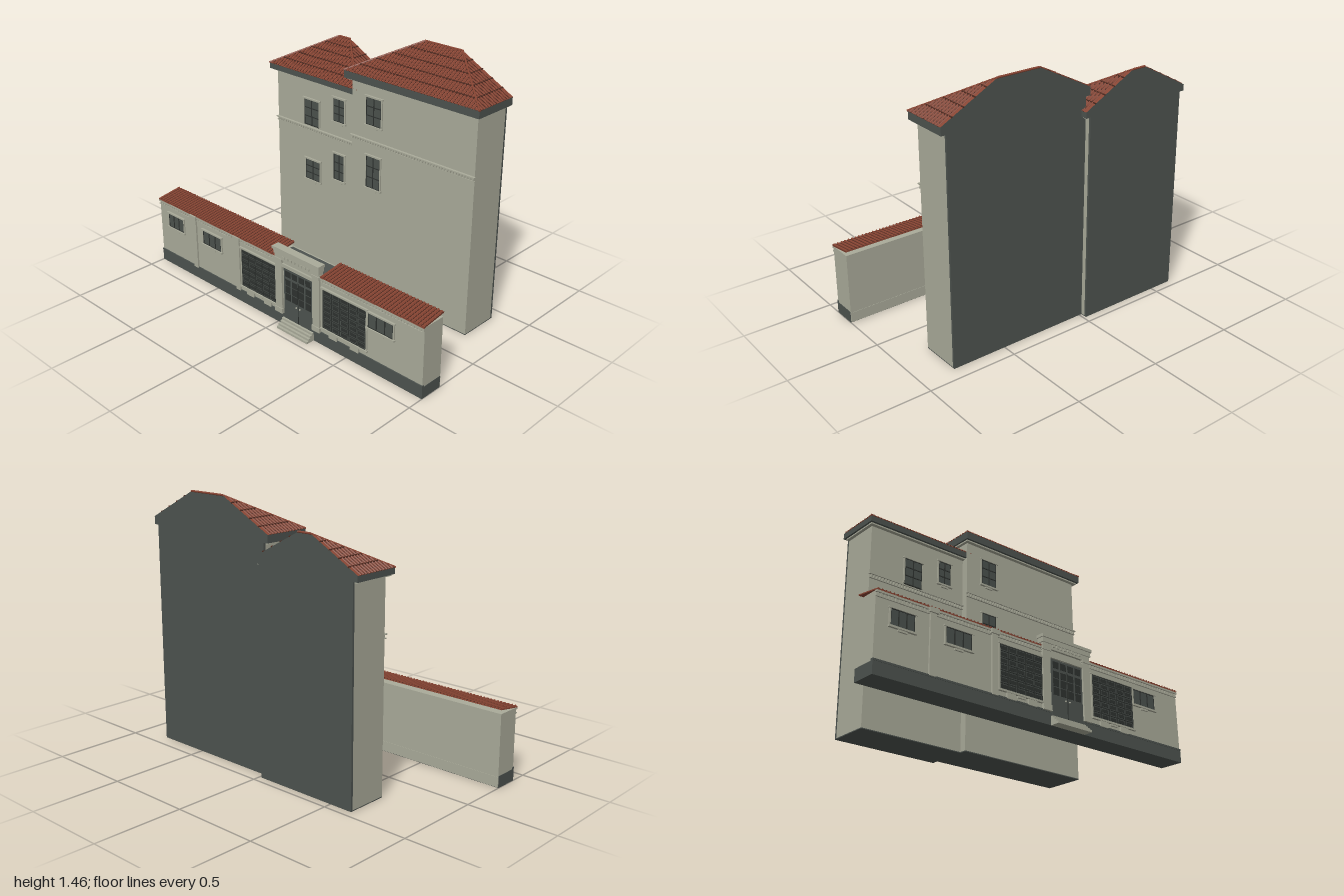
import * as THREE from 'three';
import { mergeGeometries } from 'three/addons/utils/BufferGeometryUtils.js';

const mat = (name, color, side = THREE.FrontSide) => {
  const m = new THREE.MeshStandardMaterial({ color, side });
  m.name = name;
  return m;
};

export function createModel() {
  const stucco = mat('stucco', 0xaaab9a);
  const slate = mat('slate grey', 0x4d534f);
  const tile = mat('roof tile', 0x8a4634);
  const seam = mat('tile seam', 0x4e2a20);
  const glass = mat('glass', 0x4b514d);
  const iron = mat('dark iron', 0x2e322f);
  const root = new THREE.Group();

  const group = (name, parent = root) => {
    const g = new THREE.Group();
    g.name = name;
    parent.add(g);
    return g;
  };
  const boxGeo = (x0, x1, y0, y1, z0, z1) =>
    new THREE.BoxGeometry(x1 - x0, y1 - y0, z1 - z0).translate((x0 + x1) / 2, (y0 + y1) / 2, (z0 + z1) / 2);
  const add = (g, name, geo, m) => {
    const mesh = new THREE.Mesh(Array.isArray(geo) ? mergeGeometries(geo) : geo, m);
    mesh.name = name;
    g.add(mesh);
    return mesh;
  };
  const box = (g, name, m, ...b) => add(g, name, boxGeo(...b), m);

  // A thin round bar between two points
  const bar = (a, b, r, sides = 5) => {
    const d = b.clone().sub(a);
    const q = new THREE.Quaternion().setFromUnitVectors(new THREE.Vector3(0, 1, 0), d.clone().normalize());
    return new THREE.CylinderGeometry(r, r, d.length(), sides, 1).applyQuaternion(q)
      .translate((a.x + b.x) / 2, (a.y + b.y) / 2, (a.z + b.z) / 2);
  };
  const V = (x, y, z) => new THREE.Vector3(x, y, z);

  // Window: glass plate, glazing bars, surround, lintel, sill and brackets
  const addWindow = (parent, name, x0, x1, y0, y1, z, cols, rows, sill = true) => {
    const g = group(name, parent);
    box(g, 'glass', glass, x0, x1, y0, y1, z, z + 0.003);
    const bars = [];
    for (let i = 0; i <= cols; i++) {
      const x = x0 + (x1 - x0) * i / cols;
      bars.push(boxGeo(x - 0.0025, x + 0.0025, y0, y1, z, z + 0.006));
    }
    for (let j = 0; j <= rows; j++) {
      const y = y0 + (y1 - y0) * j / rows;
      bars.push(boxGeo(x0, x1, y - 0.0025, y + 0.0025, z, z + 0.006));
    }
    add(g, 'glazingBars', bars, iron);
    const trim = [
      boxGeo(x0 - 0.008, x0, y0, y1, z, z + 0.007),
      boxGeo(x1, x1 + 0.008, y0, y1, z, z + 0.007),
      boxGeo(x0 - 0.012, x1 + 0.012, y1, y1 + 0.009, z, z + 0.011),
    ];
    if (sill) {
      trim.push(boxGeo(x0 - 0.012, x1 + 0.012, y0 - 0.01, y0, z, z + 0.013));
      const c = (x0 + x1) / 2;
      trim.push(boxGeo(c - 0.025, c + 0.025, y0 - 0.02, y0 - 0.01, z, z + 0.008));
    }
    add(g, 'surround', trim, stucco);
  };

  // Half hip roof, cut off by a flat back
  const addRoof = (parent, x0, x1, r0, r1, y0, y1, zb, zf) => {
    const g = group('hipRoof', parent);
    const A = V(x0, y0, zf), B = V(x1, y0, zf), C = V(x1, y0, zb), D = V(x0, y0, zb);
    const E = V(r0, y1, zb), F = V(r1, y1, zb);
    const faces = (name, tris, m) => {
      const geo = new THREE.BufferGeometry().setFromPoints(tris);
      geo.computeVertexNormals();
      add(g, name, geo, m);
    };
    faces('tiledSlopes', [A, B, F, A, F, E, D, A, E, B, C, F], tile);
    faces('backGable', [C, D, E, C, E, F], slate);
    const ribs = [], seams = [];
    const rib = (a, b) => {
      ribs.push(bar(a, b, 0.0045));
      const off = b.x === a.x ? V(0.0095, 0.001, 0) : V(0, 0.001, 0.0095);
      seams.push(bar(a.clone().add(off), b.clone().add(off), 0.0015, 3));
    };
    // Ribs up the front slope
    const nx = Math.round((x1 - x0) / 0.021);
    for (let i = 1; i < nx; i++) {
      const x = x0 + (x1 - x0) * i / nx;
      const t = Math.min(1, (x - x0) / (r0 - x0), (x1 - x) / (x1 - r1));
      rib(V(x, y0, zf), V(x, y0 + (y1 - y0) * t, zf + (zb - zf) * t));
    }
    // Ribs up both side slopes
    const nz = Math.round((zf - zb) / 0.021);
    for (let i = 1; i < nz; i++) {
      const t = i / nz, z = zf + (zb - zf) * t, y = y0 + (y1 - y0) * t;
      rib(V(x0, y0, z), V(x0 + (r0 - x0) * t, y, z));
      rib(V(x1, y0, z), V(x1 + (r1 - x1) * t, y, z));
    }
    // Horizontal tile courses
    for (let k = 1; k < 5; k++) {
      const t = k / 5;
      const a = A.clone().lerp(E, t), b = B.clone().lerp(F, t);
      const c = C.clone().lerp(F, t), d = D.clone().lerp(E, t);
      for (const [p, q] of [[d, a], [a, b], [b, c]]) seams.push(bar(p, q, 0.005, 4));
    }
    add(g, 'tileRibs', ribs, tile);
    add(g, 'tileSeams', seams, seam);
    add(g, 'hipTiles', [bar(A, E, 0.006), bar(B, F, 0.006), bar(E, F, 0.006)], tile);
  };

  // Tall block: walls, dark back, string course, eaves and roof
  const addBlock = (name, o) => {
    const g = group(name);
    const { x0, x1, top, zb, zf, eave, course } = o;
    box(g, 'walls', stucco, x0, x1, 0.005, top, zb + 0.012, zf);
    box(g, 'backWall', slate, x0, x1, 0, top, zb, zb + 0.012);
    box(g, 'underside', slate, x0, x1, 0, 0.005, zb + 0.012, zf);
    const trim = [
      boxGeo(x0 - 0.006, x1 + 0.006, course + 0.008, course + 0.014, zf, zf + 0.014),
      boxGeo(x0 - 0.004, x1 + 0.004, course - 0.012, course - 0.007, zf, zf + 0.008),
    ];
    for (let x = x0 + 0.005; x < x1 - 0.008; x += 0.018)
      trim.push(boxGeo(x, x + 0.009, course - 0.007, course + 0.008, zf, zf + 0.01));
    add(g, 'stringCourse', trim, stucco);
    box(g, 'eaveMoulding', stucco, x0 - 0.018, x1 + 0.018, top - 0.008, top + 0.002, zb + 0.012, zf + 0.022);
    box(g, 'eaveFascia', slate, x0 - 0.028, x1 + 0.028, top, eave, zb, zf + 0.035);
    addRoof(g, x0 - 0.03, x1 + 0.03, o.r0, o.r1, eave, o.ridge, zb, zf + 0.037);
    for (const w of o.windows) addWindow(g, 'window', ...w.slice(0, 4), zf, 2, 3, w[4]);
  };

  addBlock('rightBlock', {
    x0: -0.015, x1: 0.81, top: 1.24, zb: -0.42, zf: -0.183, eave: 1.283, ridge: 1.45, r0: 0.28, r1: 0.52, course: 0.905,
    windows: [[0.09, 0.195, 1.005, 1.16, true], [0.095, 0.192, 0.64, 0.825, true]],
  });
  addBlock('leftBlock', {
    x0: -0.635, x1: -0.015, top: 1.14, zb: -0.457, zf: -0.222, eave: 1.173, ridge: 1.333, r0: -0.37, r1: -0.29, course: 0.835,
    windows: [[-0.415, -0.302, 0.86, 1.012, false], [-0.187, -0.105, 0.937, 1.072, true],
      [-0.408, -0.297, 0.522, 0.645, true], [-0.185, -0.106, 0.585, 0.742, true]],
  });

  // Long low front building
  const front = group('frontBuilding');
  const zf = 0.403;
  box(front, 'walls', stucco, -0.998, 0.998, 0.06, 0.4, 0.267, zf);
  box(front, 'backFooting', stucco, -0.998, 0.998, 0.004, 0.06, 0.265, 0.272);
  box(front, 'plinth', slate, -1, 1, 0, 0.065, 0.27, zf + 0.004);
  for (const [a, b] of [[-1, 0.045], [0.27, 1]])
    box(front, 'plinthCap', slate, a, b, 0.065, 0.075, zf - 0.01, zf + 0.006);

  // Lean-to tile roofs either side of the portal
  const zBack = 0.265, zEave = 0.412, yBack = 0.428, yEave = 0.406;
  for (const [a, b] of [[-1, -0.012], [0.322, 1]]) {
    const g = group('tileRoof', front);
    const s = new THREE.Shape();
    s.moveTo(-zBack, yBack);
    s.lineTo(-zEave, yEave);
    s.lineTo(-zEave, yEave - 0.006);
    s.lineTo(-zBack, yBack - 0.006);
    s.closePath();
    add(g, 'roofSheet', new THREE.ExtrudeGeometry(s, { depth: b - a, bevelEnabled: false })
      .rotateY(Math.PI / 2).translate(a, 0, 0), tile);
    const ribs = [], seams = [], n = Math.round((b - a) / 0.021);
    for (let i = 0; i < n; i++) {
      const x = a + (b - a) * (i + 0.5) / n;
      ribs.push(bar(V(x, yBack, zBack), V(x, yEave, zEave), 0.006, 6));
      seams.push(bar(V(x + 0.0105, yBack, zBack), V(x + 0.0105, yEave, zEave), 0.002, 4));
    }
    add(g, 'tileRibs', ribs, tile);
    add(g, 'tileSeams', seams, seam);
    // Cornice with dentils under the tiles
    const trim = [boxGeo(a, b, 0.39, 0.4, zf, zf + 0.01), boxGeo(a, b, 0.37, 0.375, zf, zf + 0.006)];
    for (let x = a + 0.006; x < b - 0.01; x += 0.02) trim.push(boxGeo(x, x + 0.01, 0.375, 0.39, zf, zf + 0.005));
    add(g, 'cornice', trim, stucco);
  }

  // Pilasters with capitals
  for (const x of [-0.683, -0.315]) {
    box(front, 'pilaster', stucco, x - 0.018, x + 0.018, 0.07, 0.385, zf, zf + 0.01);
    box(front, 'capital', stucco, x - 0.026, x + 0.026, 0.378, 0.402, zf, zf + 0.018);
  }

  // Small windows and large latticed windows
  for (const [a, b] of [[-0.917, -0.785], [-0.607, -0.455], [0.648, 0.81]])
    addWindow(front, 'smallWindow', a, b, 0.252, 0.335, zf, 3, 1);
  for (const [a, b] of [[-0.282, -0.01], [0.338, 0.635]]) {
    addWindow(front, 'latticeWindow', a, b, 0.11, 0.34, zf, 5, 7);
    const panes = [];
    for (let i = 0; i < 5; i++) for (let j = 0; j < 7; j++) {
      const x = a + (b - a) * (i + 0.5) / 5, y = 0.11 + 0.23 * (j + 0.5) / 7;
      panes.push(boxGeo(x - 0.021, x + 0.021, y - 0.009, y + 0.009, zf, zf + 0.005));
    }
    add(front, 'latticePanels', panes, iron);
    for (const t of [0.25, 0.75]) {
      const c = a + (b - a) * t;
      box(front, 'windowBracket', stucco, c - 0.028, c + 0.028, 0.07, 0.1, zf, zf + 0.01);
    }
  }

  // Entrance portal
  const portal = group('portal');
  for (const s of [-1, 1]) {
    const c = 0.155 + s * 0.138;
    box(portal, 'portalPilaster', stucco, c - 0.025, c + 0.025, 0.07, 0.41, zf, zf + 0.012);
    box(portal, 'pilasterFoot', stucco, c - 0.028, c + 0.028, 0.07, 0.1, zf, zf + 0.016);
    box(portal, 'pilasterCapital', stucco, c - 0.028, c + 0.028, 0.385, 0.402, zf, zf + 0.017);
  }
  box(portal, 'flatRoof', slate, -0.01, 0.32, 0.398, 0.404, 0.28, 0.385);
  box(portal, 'parapet', stucco, -0.006, 0.316, 0.398, 0.44, 0.383, 0.416);
  box(portal, 'parapetCornice', stucco, -0.011, 0.321, 0.425, 0.45, 0.382, 0.421);
  box(portal, 'parapetCap', stucco, -0.016, 0.326, 0.45, 0.466, 0.38, 0.427);
  box(portal, 'lintel', stucco, 0.04, 0.275, 0.355, 0.375, zf, zf + 0.01);
  const dentils = [];
  for (let i = 0; i < 8; i++) {
    const x = 0.065 + i * 0.0255;
    dentils.push(boxGeo(x - 0.007, x + 0.007, 0.41, 0.424, 0.41, 0.421));
  }
  add(portal, 'portalDentils', dentils, stucco);

  // Double door with panels
  const door = group('door', portal);
  box(door, 'doorLeaves', slate, 0.052, 0.265, 0.04, 0.352, zf, zf + 0.005);
  const panels = [];
  for (let i = 0; i < 4; i++) {
    const x = 0.083 + i * 0.05;
    for (const [y0, y1] of [[0.305, 0.34], [0.255, 0.29], [0.21, 0.25], [0.165, 0.205]])
      panels.push(boxGeo(x - 0.019, x + 0.019, y0, y1, zf, zf + 0.007));
  }
  panels.push(boxGeo(0.157, 0.16, 0.05, 0.3, zf, zf + 0.008));
  add(door, 'doorPanels', panels, iron);
  const knobs = [0.145, 0.172].map(x => new THREE.SphereGeometry(0.005, 8, 6).translate(x, 0.145, zf + 0.008));
  add(door, 'doorKnobs', knobs, stucco);

  // Entrance steps
  for (let i = 0; i < 4; i++)
    box(portal, 'step', stucco, 0.043, 0.27, i * 0.012, (i + 1) * 0.012, 0.4, 0.459 - i * 0.013);

  return root;
}
